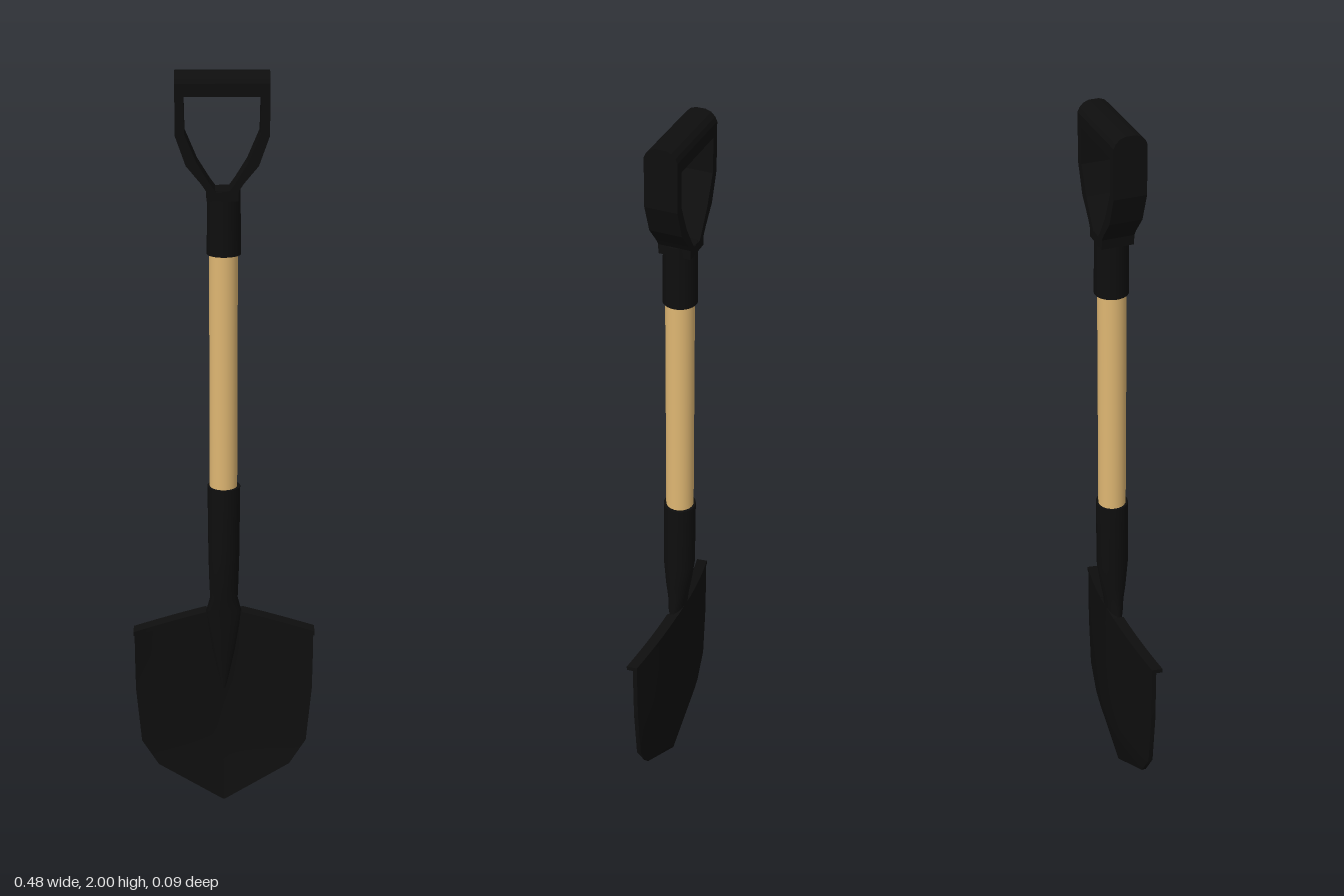
import * as THREE from 'three';

const black = new THREE.MeshStandardMaterial({ color: 0x0e0e0e });
black.name = 'black';
const wood = new THREE.MeshStandardMaterial({ color: 0xdeb672 });
wood.name = 'wood';

const AXIS_Z = -0.005;

// Moves every vertex of a geometry by a rule
function warp(geometry, rule) {
  const p = geometry.attributes.position;
  const v = new THREE.Vector3();
  for (let i = 0; i < p.count; i++) {
    rule(v.fromBufferAttribute(p, i));
    p.setXYZ(i, v.x, v.y, v.z);
  }
  geometry.computeVertexNormals();
  return geometry;
}

function outline(points, Type = THREE.Shape) {
  return new Type(points.map(([x, y]) => new THREE.Vector2(x, y)));
}

// Mirrors half of an outline across x = 0
const mirrored = (half) => [...half, ...half.map(([x, y]) => [-x, y]).reverse()];

// Depth of the dished blade at a sideways position u (-1 to 1)
const dish = (u, centre, edge) => centre + (edge - centre) * Math.abs(u) ** 1.5;

export function createModel() {
  const model = new THREE.Group();
  const add = (name, geometry, material, x = 0, y = 0, z = 0) => {
    const mesh = new THREE.Mesh(geometry, material);
    mesh.name = name;
    mesh.position.set(x, y, z);
    model.add(mesh);
    return mesh;
  };

  // Wooden shaft and the collar above it
  add('shaft', new THREE.CylinderGeometry(0.036, 0.036, 0.7, 32), wood, -0.001, 1.24, AXIS_Z + 0.001);
  add('handleCollar', new THREE.CylinderGeometry(0.041, 0.043, 0.165, 32), black, 0, 1.6325, AXIS_Z);

  // Forked handle arms
  const fork = outline(mirrored([
    [0.039, 1.69], [0.04, 1.715], [0.052, 1.733], [0.089, 1.777], [0.115, 1.85], [0.115, 1.965],
  ]));
  fork.holes.push(outline(mirrored([
    [0.016, 1.713], [0.032, 1.735], [0.062, 1.783], [0.092, 1.853], [0.094, 1.945],
  ]), THREE.Path));
  add('handleFork', new THREE.ExtrudeGeometry(fork, { depth: 0.082, bevelEnabled: false }),
    black, -0.004, 0, AXIS_Z - 0.041);

  // Rounded crossbar grip, extruded sideways
  const gripProfile = outline([
    [-0.041, 1.943], [0.041, 1.943], [0.041, 1.974], [0.036, 1.985], [0.026, 1.995], [0.012, 2],
    [-0.012, 2], [-0.026, 1.995], [-0.036, 1.985], [-0.041, 1.974],
  ]);
  const grip = new THREE.ExtrudeGeometry(gripProfile, { depth: 0.23, bevelEnabled: false });
  grip.translate(0, 0, -0.115).rotateY(Math.PI / 2);
  add('grip', grip, black, -0.004, 0, AXIS_Z);

  // Socket tapering into the ridge of the blade: y, x radius, z radius, z centre
  const sections = [
    [0.33, 0.006, 0.006, -0.014], [0.45, 0.03, 0.015, -0.008], [0.53, 0.042, 0.019, -0.003],
    [0.575, 0.046, 0.021, 0], [0.61, 0.037, 0.026, 0], [0.66, 0.039, 0.034, -0.001],
    [0.73, 0.041, 0.042, -0.003], [0.93, 0.043, 0.042, -0.004],
  ];
  const last = sections.length - 1;
  add('socket', warp(new THREE.CylinderGeometry(1, 1, 1, 32, last), (v) => {
    const [y, rx, rz, cz] = sections[Math.round((v.y + 0.5) * last)];
    v.set(v.x * rx, y, v.z * rz + cz);
  }), black);

  // Dished blade: y, half width, back depth at centre, back depth at edge
  const rows = [
    [0, 0.003, 0.016, 0.017], [0.115, 0.18, -0.007, 0.016], [0.19, 0.225, -0.02, 0.017],
    [0.35, 0.239, -0.022, 0.017], [0.45, 0.24, -0.022, 0.017], [0.583, 0.24, -0.022, 0.017],
  ];
  const top = rows.length - 1;
  add('blade', warp(new THREE.BoxGeometry(2, 1, 1, 24, top, 1), (v) => {
    const row = Math.round((v.y + 0.5) * top);
    const [y, w, centre, edge] = rows[row];
    const u = v.x;
    const thickness = row === 0 ? 0.006 : 0.012;
    v.set(u * w, row === top ? y - 0.052 * Math.abs(u) : y,
      dish(u, centre, edge) + (v.z + 0.5) * thickness);
  }), black);

  // Foot rests folded forward along the top edge
  for (const side of [-1, 1]) {
    add(side > 0 ? 'leftFootRest' : 'rightFootRest',
      warp(new THREE.BoxGeometry(1, 1, 1, 10, 1, 1), (v) => {
        const u = side * 0.6 + v.x * 0.8;
        v.set(u * 0.242, 0.585 - 0.052 * Math.abs(u) + (v.y - 0.5) * 0.012 - (v.z + 0.5) * 0.004,
          dish(u, -0.022, 0.016) + (v.z + 0.5) * 0.03);
      }), black);
  }

  return model;
}
